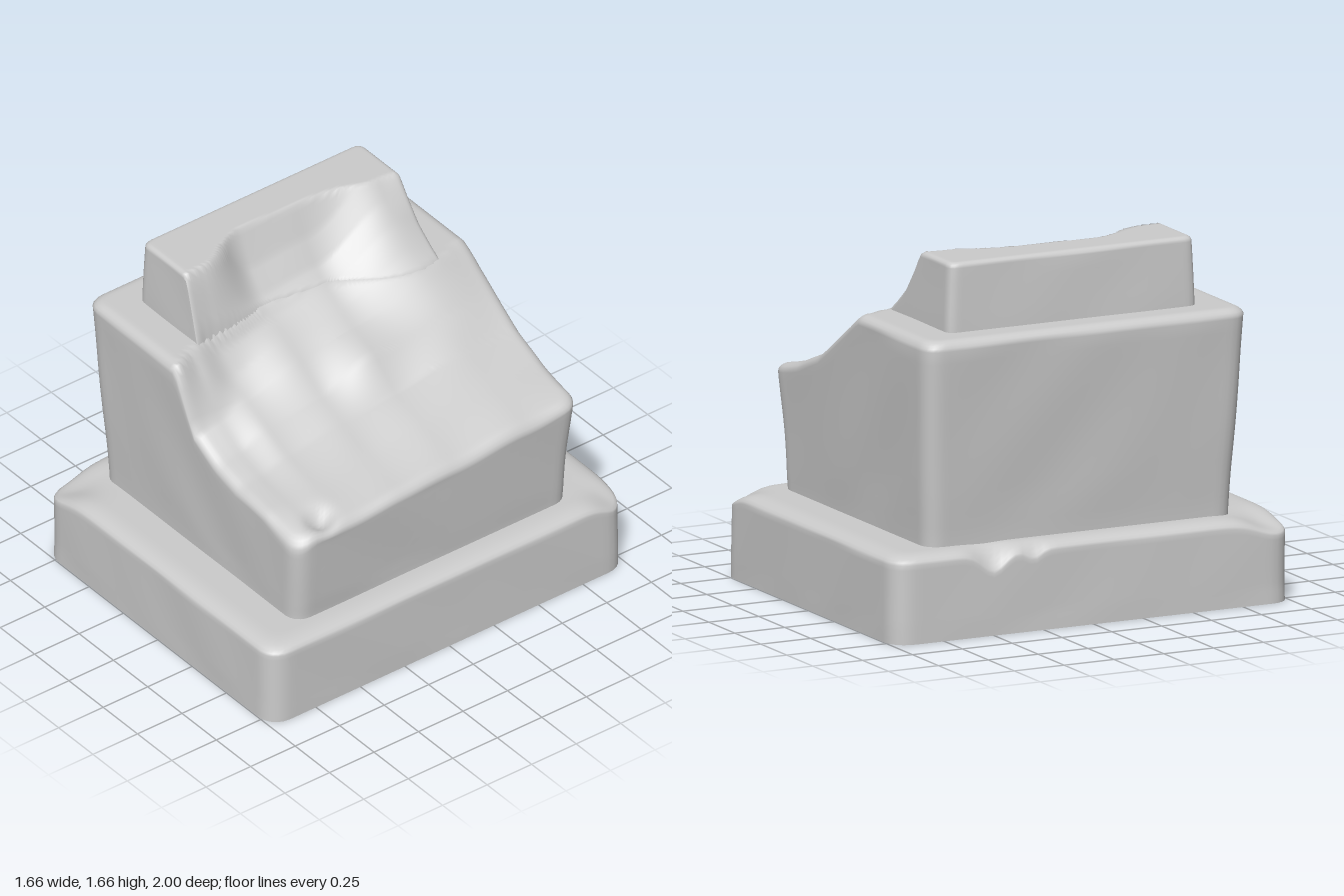
import * as THREE from 'three';

const material = new THREE.MeshStandardMaterial({ color: 0xcccccc, roughness: 0.9 });
const clamp = THREE.MathUtils.clamp;
const SIDE = 56; // samples along each side of a block

// Heights of the broken slope: one row per z station, one column per x station
const XS = [-0.45, -0.36, -0.28, -0.2, -0.1, 0, 0.15, 0.3, 0.5, 0.75];
const ZS = [-0.82, -0.5, -0.1, 0.2, 0.5, 0.66, 0.82];
const ROWS = [
  [1.90, 1.80, 1.60, 1.42, 1.34, 1.27, 1.18, 1.09, 1.02, 0.97],
  [1.75, 1.67, 1.58, 1.50, 1.41, 1.33, 1.20, 1.10, 1.02, 0.93],
  [1.70, 1.51, 1.40, 1.34, 1.28, 1.23, 1.18, 1.05, 0.98, 0.90],
  [1.70, 1.50, 1.38, 1.30, 1.24, 1.18, 1.07, 1.01, 0.95, 0.88],
  [1.90, 1.80, 1.58, 1.30, 1.18, 1.10, 1.03, 0.97, 0.92, 0.86],
  [1.90, 1.80, 1.60, 1.36, 1.24, 1.08, 0.98, 0.93, 0.90, 0.86],
  [1.90, 1.80, 1.70, 1.50, 1.30, 1.06, 0.97, 0.91, 0.89, 0.81],
];

// Finds the interval holding v and the fraction inside it
function locate(stations, v) {
  let i = 0;
  while (i < stations.length - 2 && v > stations[i + 1]) i++;
  return [i, clamp((v - stations[i]) / (stations[i + 1] - stations[i]), 0, 1)];
}

const bump = (x, z, cx, cz, r) => Math.exp(-((x - cx) ** 2 + (z - cz) ** 2) / (r * r));
const ripple = (a, b, c) =>
  Math.sin(a * 7 + b * 4 + 1) * Math.sin(c * 6 - b * 5) + 0.5 * Math.sin(a * 13 - c * 11 + b * 9);

function slope(x, z) {
  const [i, u] = locate(XS, x);
  const [j, t] = locate(ZS, z);
  const v = t * t * (3 - 2 * t);
  const row = (k) => THREE.MathUtils.lerp(ROWS[k][i], ROWS[k][i + 1], u);
  return THREE.MathUtils.lerp(row(j), row(j + 1), v)
    + 0.008 * ripple(x, 0, z) - 0.05 * bump(x, z, 0.66, 0.6, 0.06);
}

// Rounded rectangle in plan, walked from +x toward +z
function outline(hx, hz, r) {
  const corners = [[hx, -hz], [hx, hz], [-hx, hz], [-hx, -hz]];
  const points = [];
  for (let s = 0; s < 4; s++) {
    const a = corners[s], b = corners[(s + 1) % 4];
    for (let k = 0; k < SIDE; k++) {
      const x = a[0] + (b[0] - a[0]) * k / SIDE, z = a[1] + (b[1] - a[1]) * k / SIDE;
      const qx = clamp(x, r - hx, hx - r), qz = clamp(z, r - hz, hz - r);
      const len = Math.hypot(x - qx, z - qz) || 1;
      points.push([qx + (x - qx) * r / len, qz + (z - qz) * r / len]);
    }
  }
  return points;
}

// Weathered block: flat bottom, walls up to top(x, z), softened edge, then the top surface
function block(name, { y0, half, corner, edge, drop, top, rough = 0.004, cx = 0 }) {
  const positions = [], index = [];
  const n = SIDE * 4;
  const plans = new Map();
  const plan = (y, inset) => {
    const key = y.toFixed(3) + '/' + inset.toFixed(4);
    if (!plans.has(key)) {
      const [hx, hz] = half(y);
      plans.set(key, outline(hx - inset, hz - inset, Math.max(corner - inset * 0.4, 0.02)));
    }
    return plans.get(key);
  };
  const guide = plan(1.1, 0);
  const heights = guide.map(([x, z]) => top(x + cx, z));
  const addRing = (fn) => {
    for (let i = 0; i < n; i++) positions.push(...fn(i));
  };
  const wall = (t) => (i) => {
    const y = y0 + (heights[i] - drop - y0) * t;
    const [x, z] = plan(y, 0)[i];
    const k = 1 + rough * ripple(x, y, z) * Math.min(1, t * 4);
    return [x * k + cx, y, z * k];
  };
  // underside, with its rim doubled to keep a sharp edge
  for (const s of [0, 1]) addRing((i) => {
    const [x, y, z] = wall(0)(i);
    return [(x - cx) * s + cx, y, z * s];
  });
  // walls
  for (let k = 0; k <= 16; k++) addRing(wall(k / 16));
  // softened top edge
  for (let k = 1; k <= 5; k++) {
    const a = k / 5 * Math.PI / 2;
    addRing((i) => {
      const [x, z] = plan(heights[i], edge * (1 - Math.cos(a)))[i];
      return [x + cx, top(x + cx, z) - drop * (1 - Math.sin(a)), z];
    });
  }
  // top surface
  for (let k = 1; k <= 44; k++) addRing((i) => {
    const [px, pz] = plan(heights[i], edge)[i];
    const x = px * (1 - k / 44) + cx, z = pz * (1 - k / 44);
    return [x, top(x, z), z];
  });
  const rings = positions.length / 3 / n;
  for (let r = 0; r < rings - 1; r++) {
    if (r === 1) continue;
    for (let i = 0; i < n; i++) {
      const a = r * n + i, b = r * n + (i + 1) % n;
      index.push(a, a + n, b, b, a + n, b + n);
    }
  }
  const geometry = new THREE.BufferGeometry();
  geometry.setAttribute('position', new THREE.Float32BufferAttribute(positions, 3));
  geometry.setIndex(index);
  geometry.computeVertexNormals();
  const mesh = new THREE.Mesh(geometry, material);
  mesh.name = name;
  return mesh;
}

export function createModel() {
  const group = new THREE.Group();
  group.name = 'brokenPedestal';

  // Plinth with worn corners and a chipped side
  group.add(block('plinth', {
    y0: 0, half: () => [0.828, 0.997], corner: 0.1, edge: 0.09, drop: 0.04, rough: 0.002,
    top: (x, z) => 0.4 - 0.06 * bump(x, z, -0.78, 0.92, 0.13) - 0.05 * bump(x, z, 0.8, -0.95, 0.1)
      - 0.08 * bump(x, z, -0.84, -0.5, 0.08) - 0.04 * bump(x, z, -0.84, -0.3, 0.05),
  }));

  // Flared body, broken off along the slope
  group.add(block('body', {
    y0: 0.37, corner: 0.08, edge: 0.05, drop: 0.045,
    half: (y) => {
      const t = clamp((y - 0.4) / 0.9, 0, 1);
      return [0.705 + 0.075 * t, 0.768 + 0.042 * t];
    },
    top: (x, z) => Math.min(1.35, slope(x, z)),
  }));

  // Raised upper step, sunk under the body where the slope cuts it away
  group.add(block('upperStep', {
    y0: 0.6, corner: 0.04, edge: 0.025, drop: 0.025, cx: -0.12,
    half: (y) => {
      const t = clamp((y - 1.35) / 0.3, 0, 1);
      return [0.51 - 0.008 * t, 0.625 - 0.012 * t];
    },
    top: (x, z) => {
      const h = slope(x, z);
      return Math.min(1.665, h > 1.35 ? h : h - Math.min(0.1, 2 * (1.35 - h)));
    },
  }));
  return group;
}
